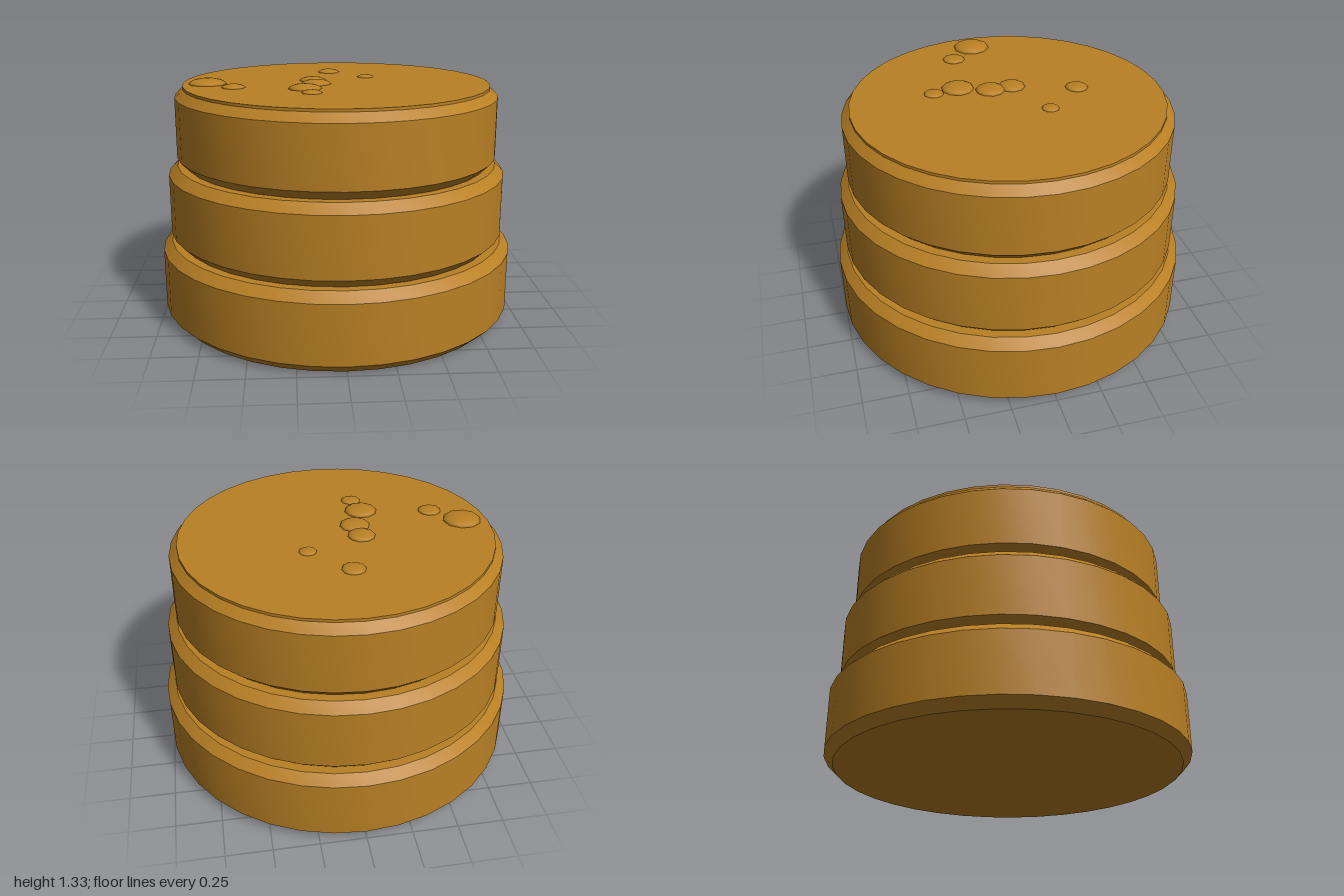
import * as THREE from 'three';
import { toCreasedNormals } from 'three/addons/utils/BufferGeometryUtils.js';

const SIDES = 36;
const TIER_HEIGHT = 0.43;
const BEVEL = 0.05;

// Solid disc with chamfered rims, standing on y = 0
function chamferedDisc(radius, height, bevel) {
  const profile = [
    [0, 0],
    [radius - bevel, 0],
    [radius, bevel],
    [radius, height - bevel],
    [radius - bevel, height],
    [0, height],
  ].map(([x, y]) => new THREE.Vector2(x, y));
  return toCreasedNormals(new THREE.LatheGeometry(profile, SIDES), 0.5);
}

export function createModel() {
  const model = new THREE.Group();
  model.name = 'stackedDiscs';
  const amber = new THREE.MeshStandardMaterial({ color: 0xb98024 });
  amber.name = 'amber';

  const add = (name, geometry, x, y, z) => {
    const mesh = new THREE.Mesh(geometry, amber);
    mesh.name = name;
    mesh.position.set(x, y, z);
    model.add(mesh);
    return mesh;
  };

  // Three tiers, each a little narrower than the one below
  ['bottomTier', 'middleTier', 'topTier'].forEach((name, i) => {
    add(name, chamferedDisc(1 - i * 0.05, TIER_HEIGHT, BEVEL), 0, i * TIER_HEIGHT, 0);
  });

  // Thin glossy layer on the top
  const top = 3 * TIER_HEIGHT;
  add('topSurface', new THREE.CylinderGeometry(0.855, 0.855, 0.02, SIDES), 0, top, 0);

  // Flattened bubbles: x, z, radius
  const bubbles = [
    [-0.715, 0.04, 0.106],
    [-0.565, 0.18, 0.065],
    [-0.13, -0.055, 0.076],
    [-0.115, 0.07, 0.083],
    [-0.18, 0.24, 0.091],
    [-0.148, 0.38, 0.055],
    [0.18, -0.185, 0.048],
    [-0.025, -0.4, 0.064],
  ];
  const bubbleShape = new THREE.SphereGeometry(1, 10, 8);
  bubbles.forEach(([x, z, r], i) => {
    add(`bubble${i + 1}`, bubbleShape, x, top + 0.01, z).scale.set(r, r * 0.3, r);
  });

  return model;
}
